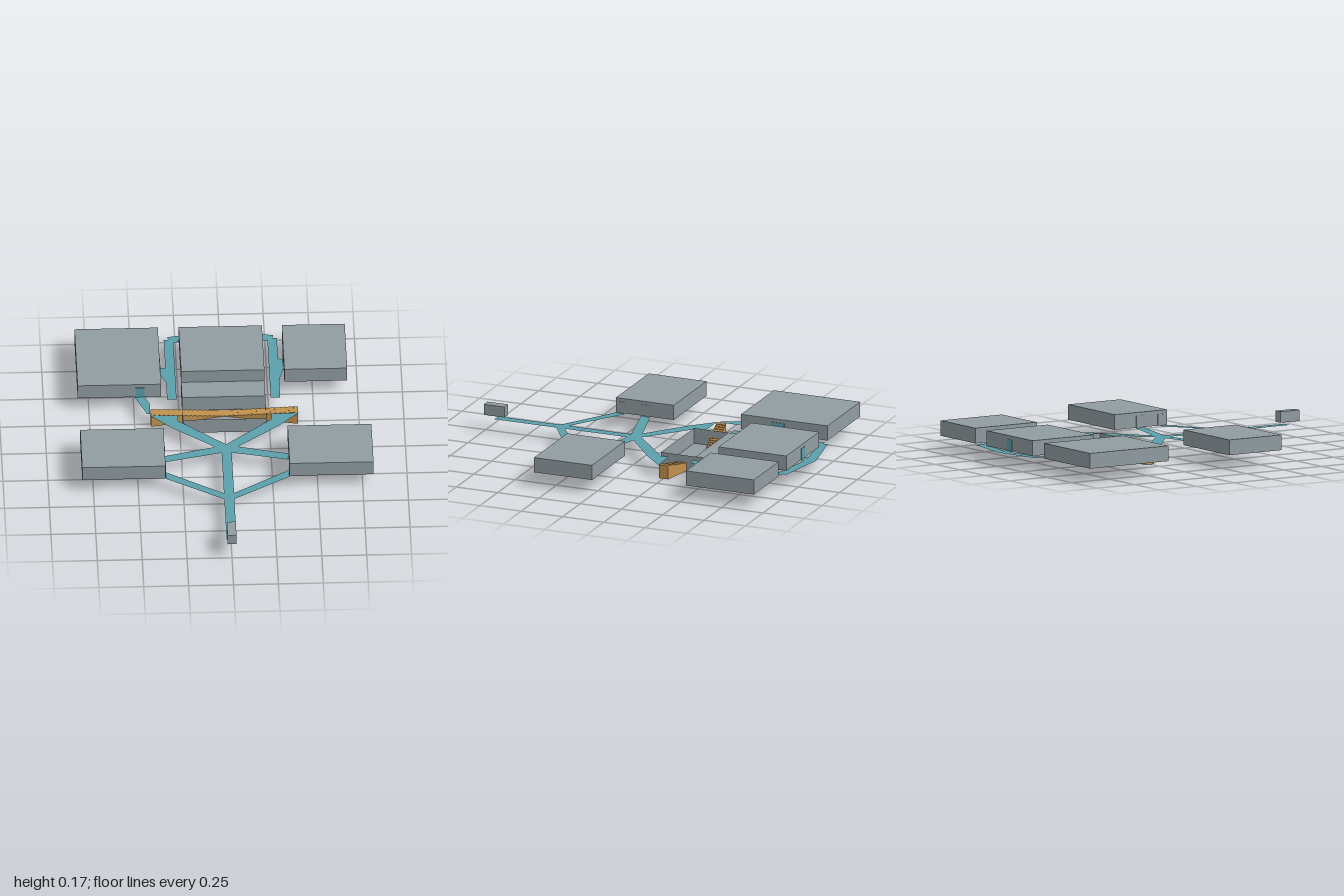
import * as THREE from 'three';

const mat = (name, color, side = THREE.FrontSide) => {
  const m = new THREE.MeshStandardMaterial({ color, side });
  m.name = name;
  return m;
};

export function createModel() {
  const model = new THREE.Group();
  model.name = 'floorPlan';
  const grey = mat('room grey', 0x919da2);
  const greyOpen = mat('open hall grey', 0x919da2, THREE.DoubleSide);
  const teal = mat('walkway teal', 0x5ba0ac, THREE.DoubleSide);
  const gold = mat('stair gold', 0xc0924f);

  const add = (name, geometry, material) => {
    const mesh = new THREE.Mesh(geometry, material);
    mesh.name = name;
    model.add(mesh);
    return mesh;
  };
  // box given by its limits
  const block = (name, x0, x1, y0, y1, z0, z1, material = grey) =>
    add(name, new THREE.BoxGeometry(x1 - x0, y1 - y0, z1 - z0), material)
      .position.set((x0 + x1) / 2, (y0 + y1) / 2, (z0 + z1) / 2);
  // flat walkway from [x, z] corners
  const PATH_Y = 0.078;
  const path = (name, points, mirror = 1) => {
    const shape = new THREE.Shape(points.map(([x, z]) => new THREE.Vector2(x * mirror, -z)));
    const g = new THREE.ShapeGeometry(shape).rotateX(-Math.PI / 2);
    add(name, g, teal).position.y = PATH_Y;
  };

  // Raised rooms
  const LOW = 0.08, HIGH = 0.166;
  block('rearRightRoom', -0.812, -0.348, LOW, HIGH, -0.92, -0.397);
  block('rearLeftRoom', 0.343, 0.693, LOW, HIGH, -0.92, -0.51);
  block('rearCentreRoom', -0.232, 0.232, LOW, HIGH, -0.92, -0.51);
  block('frontRightRoom', -0.812, -0.348, LOW, HIGH, 0.01, 0.36);
  block('frontLeftRoom', 0.343, 0.81, LOW, HIGH, 0.01, 0.36);
  block('frontCabin', -0.025, 0.025, 0.095, 0.157, 0.875, 1.0);

  // Doors as thin plates
  const T = 0.003;
  block('rearRightRoomFrontDoor', -0.49, -0.44, LOW, 0.145, -0.397, -0.397 + T, teal);
  block('rearRightRoomSideDoor', -0.348, -0.348 + T, LOW, 0.145, -0.66, -0.58, teal);
  block('rearCentreRoomDoor', -0.027, 0.027, LOW, 0.145, -0.92 - T, -0.92, teal);
  block('rearLeftRoomDoor', 0.343 - T, 0.343, LOW, 0.145, -0.71, -0.65);
  for (const z of [0.18, 0.325]) {
    block('frontRightRoomDoor', -0.348, -0.348 + T, LOW, 0.145, z - 0.027, z + 0.027);
    block('frontLeftRoomDoor', 0.343 - T, 0.343, LOW, 0.145, z - 0.027, z + 0.027);
  }

  // Sunken hall: open tray with a raised landing at its rear
  const hallWidth = 0.464, hallTop = 0.09, z0 = -0.51, z1 = -0.162, zStep = -0.37;
  const profile = (a, b, h) => new THREE.PlaneGeometry(b - a, h);
  const zMid = (z0 + z1) / 2;
  add('hallFloor', profile(0, hallWidth, z1 - z0).rotateX(-Math.PI / 2), greyOpen)
    .position.set(0, 0.001, zMid);
  add('hallLanding', profile(0, hallWidth, zStep - z0).rotateX(-Math.PI / 2), greyOpen)
    .position.set(0, hallTop, (z0 + zStep) / 2);
  for (const z of [z0, zStep, z1])
    add('hallCrossWall', profile(0, hallWidth, hallTop), greyOpen).position.set(0, hallTop / 2, z);
  for (const s of [-1, 1])
    add('hallSideWall', profile(z0, z1, hallTop).rotateY(s * Math.PI / 2), greyOpen)
      .position.set(s * hallWidth / 2, hallTop / 2, zMid);

  // Stairs descending from both ends into the hall
  const steps = 16, reach = 0.41, stairTop = 0.078;
  for (const s of [-1, 1]) {
    const shape = new THREE.Shape();
    shape.moveTo(0, 0);
    for (let i = 0; i < steps; i++) {
      const y = stairTop * (i + 1) / steps;
      shape.lineTo(s * reach * i / steps, y);
      shape.lineTo(s * reach * (i + 1) / steps, y);
    }
    shape.lineTo(s * reach, 0);
    const g = new THREE.ExtrudeGeometry(shape, { depth: 0.055, bevelEnabled: false });
    const p = g.attributes.position;
    // sweep the flight back toward the middle
    for (let i = 0; i < p.count; i++)
      p.setZ(i, p.getZ(i) - 0.362 + Math.abs(p.getX(i)) * 0.2);
    g.computeVertexNormals();
    add(s > 0 ? 'leftStair' : 'rightStair', g, gold);
  }

  // Walkways
  path('spineWalkway', [[-0.028, 0.08], [0.028, 0.08], [0.028, 0.935], [-0.028, 0.935]]);
  path('rearLink', [[-0.028, -0.96], [0.028, -0.96], [0.028, -0.92], [-0.028, -0.92]]);
  path('rearRightLink', [[-0.495, -0.397], [-0.44, -0.397], [-0.413, -0.335], [-0.413, -0.24], [-0.43, -0.24]]);
  for (const s of [-1, 1]) {
    path('hubRearArm', [[0, 0.055], [0.26, -0.17], [0.26, -0.22], [0.415, -0.225], [0.3, -0.11], [0.03, 0.105], [0, 0.12]], s);
    path('hubFrontArm', [[0, 0.06], [0.346, 0.152], [0.346, 0.208], [0, 0.125]], s);
    path('frontArm', [[0, 0.525], [0.346, 0.3], [0.346, 0.362], [0, 0.578]], s);
    path('sideWalkway', [[0.262, -0.92], [0.315, -0.92], [0.315, -0.37], [0.262, -0.37]], s);
    path('rearArch', [[0, -1], [0.295, -0.945], [0.29, -0.92], [0.262, -0.895], [0, -0.945]], s);
  }
  path('leftSpur', [[0.315, -0.73], [0.343, -0.715], [0.343, -0.64], [0.315, -0.53]]);
  path('rightSpur', [[-0.315, -0.66], [-0.348, -0.665], [-0.348, -0.6], [-0.315, -0.53]]);

  return model;
}
